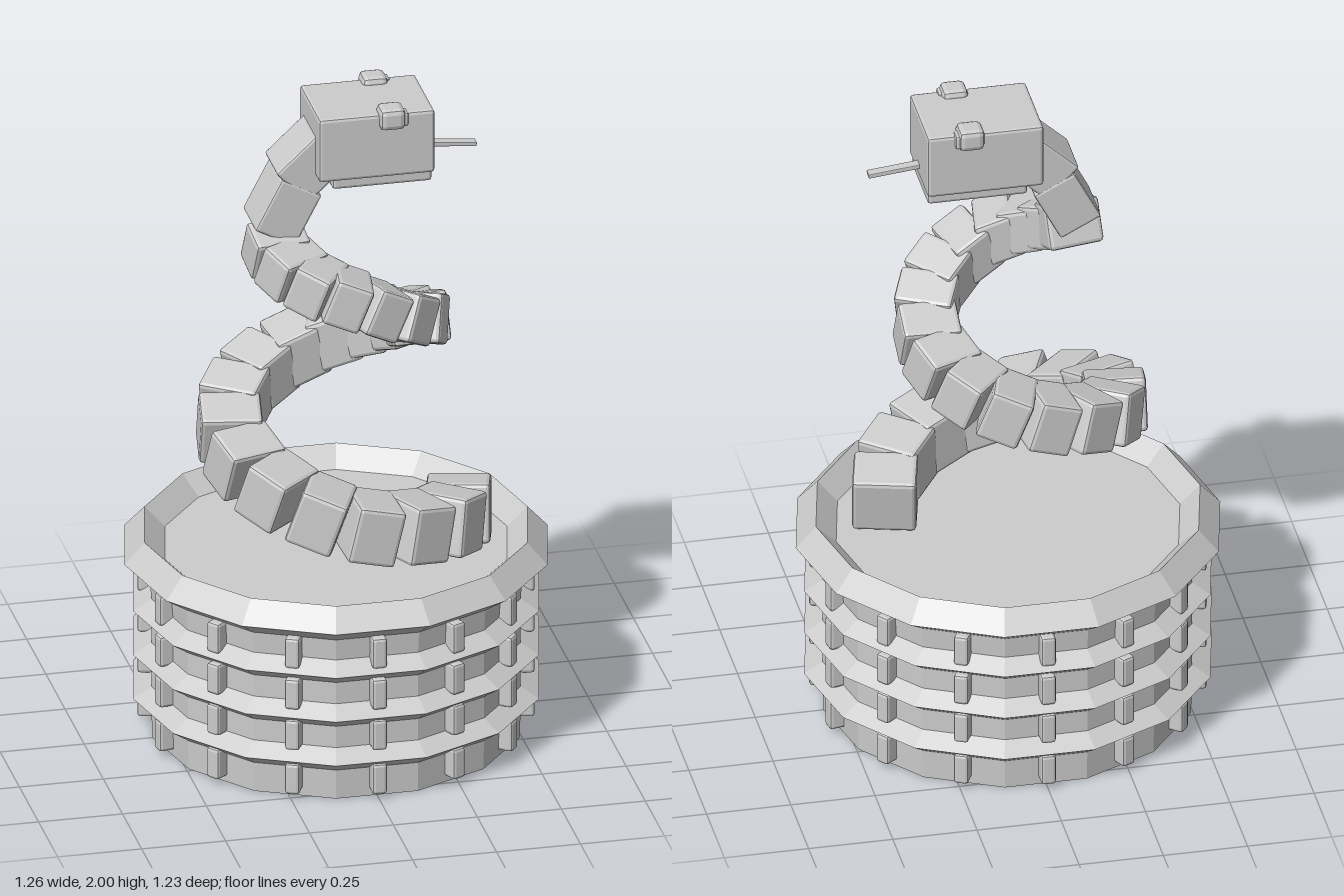
import * as THREE from 'three';
import { RoundedBoxGeometry } from 'three/addons/geometries/RoundedBoxGeometry.js';

export function createModel() {
  const model = new THREE.Group();
  const grey = new THREE.MeshStandardMaterial({ color: 0xcccccc, flatShading: true });
  grey.name = 'plain grey';

  const add = (name, geometry, parent = model) => {
    const mesh = new THREE.Mesh(geometry, grey);
    mesh.name = name;
    parent.add(mesh);
    return mesh;
  };
  const block = (name, size, centre, bevel, parent) => {
    const mesh = add(name, new RoundedBoxGeometry(...size, 1, bevel), parent);
    mesh.position.set(...centre);
    return mesh;
  };

  // Basket: fourteen-sided wall with three sharp hoops, flared rim and lid
  const sides = 14;
  const profile = [[0, 0], [0.547, 0]];
  for (const y of [0.13, 0.27, 0.41]) {
    profile.push([0.55, y - 0.038], [0.605, y], [0.55, y + 0.034]);
  }
  profile.push([0.555, 0.51], [0.63, 0.56], [0.57, 0.625], [0.51, 0.567], [0, 0.567]);
  add('basket', new THREE.LatheGeometry(
    profile.map(([r, y]) => new THREE.Vector2(r, y)), sides, Math.PI / 2));

  // Upright slats, one per side on each of four tiers
  const slats = new THREE.Group();
  slats.name = 'basketSlats';
  model.add(slats);
  for (const y of [0.067, 0.207, 0.337, 0.468]) {
    for (let i = 0; i < sides; i++) {
      const a = ((i + 0.5) / sides) * Math.PI * 2;
      const slat = block('slat', [0.044, 0.096, 0.06],
        [Math.sin(a + Math.PI / 2) * 0.547, y, Math.cos(a + Math.PI / 2) * 0.547], 0.009, slats);
      slat.rotation.y = a + Math.PI / 2;
    }
  }

  // Coiled body: tapering blocks along a rising, narrowing spiral
  const body = new THREE.Group();
  body.name = 'coiledBody';
  model.add(body);
  // Quarter-turn stations: radius and height
  const stations = [[0.36, 0.66], [0.335, 0.77], [0.315, 0.95], [0.272, 1.1],
    [0.242, 1.26], [0.213, 1.44], [0.19, 1.56], [0.18, 1.64]];
  const spiral = (deg) => {
    const q = Math.min(deg / 90, 6.99);
    const i = Math.floor(q);
    const k = q - i;
    const [r, y] = [0, 1].map((n) => THREE.MathUtils.lerp(stations[i][n], stations[i + 1][n], k));
    const a = THREE.MathUtils.degToRad(deg);
    return new THREE.Vector3(r * Math.cos(a), y, r * Math.sin(a));
  };
  const count = 22;
  for (let i = 0; i < count; i++) {
    const deg = 12 + i * 24.6;
    const k = i / (count - 1);
    const position = spiral(deg);
    const tangent = spiral(deg + 8).sub(spiral(Math.max(deg - 8, 0))).normalize();
    const outward = new THREE.Vector3(position.x, 0, position.z);
    outward.addScaledVector(tangent, -outward.dot(tangent)).normalize();
    const up = new THREE.Vector3().crossVectors(tangent, outward);
    const segment = block('bodySegment',
      [0.187 - 0.02 * k, 0.18 - 0.045 * k, 0.15 - 0.04 * k], position.toArray(), 0.012, body);
    segment.quaternion.setFromRotationMatrix(new THREE.Matrix4().makeBasis(outward, up, tangent));
  }

  // Neck: two blocks bending forward into the head
  block('lowerNeck', [0.135, 0.175, 0.17], [-0.16, 1.672, 0], 0.008).rotation.z = -0.48;
  block('upperNeck', [0.14, 0.2, 0.165], [-0.075, 1.815, 0], 0.008).rotation.z = -0.82;

  // Head with jaw, tongue and a pair of eyes
  const head = new THREE.Group();
  head.name = 'head';
  model.add(head);
  block('skull', [0.345, 0.2, 0.262], [0.093, 1.88, 0], 0.01, head);
  block('jaw', [0.297, 0.06, 0.222], [0.113, 1.775, 0], 0.01, head);
  block('tongue', [0.2, 0.014, 0.03], [0.317, 1.813, 0], 0.003, head).rotation.z = -0.1;
  for (const side of [-1, 1]) {
    block('eye', [0.076, 0.066, 0.076], [0.137, 1.967, side * 0.116], 0.016, head);
    block('pupil', [0.03, 0.045, 0.045], [0.17, 1.963, side * 0.122], 0.008, head);
  }

  return model;
}
